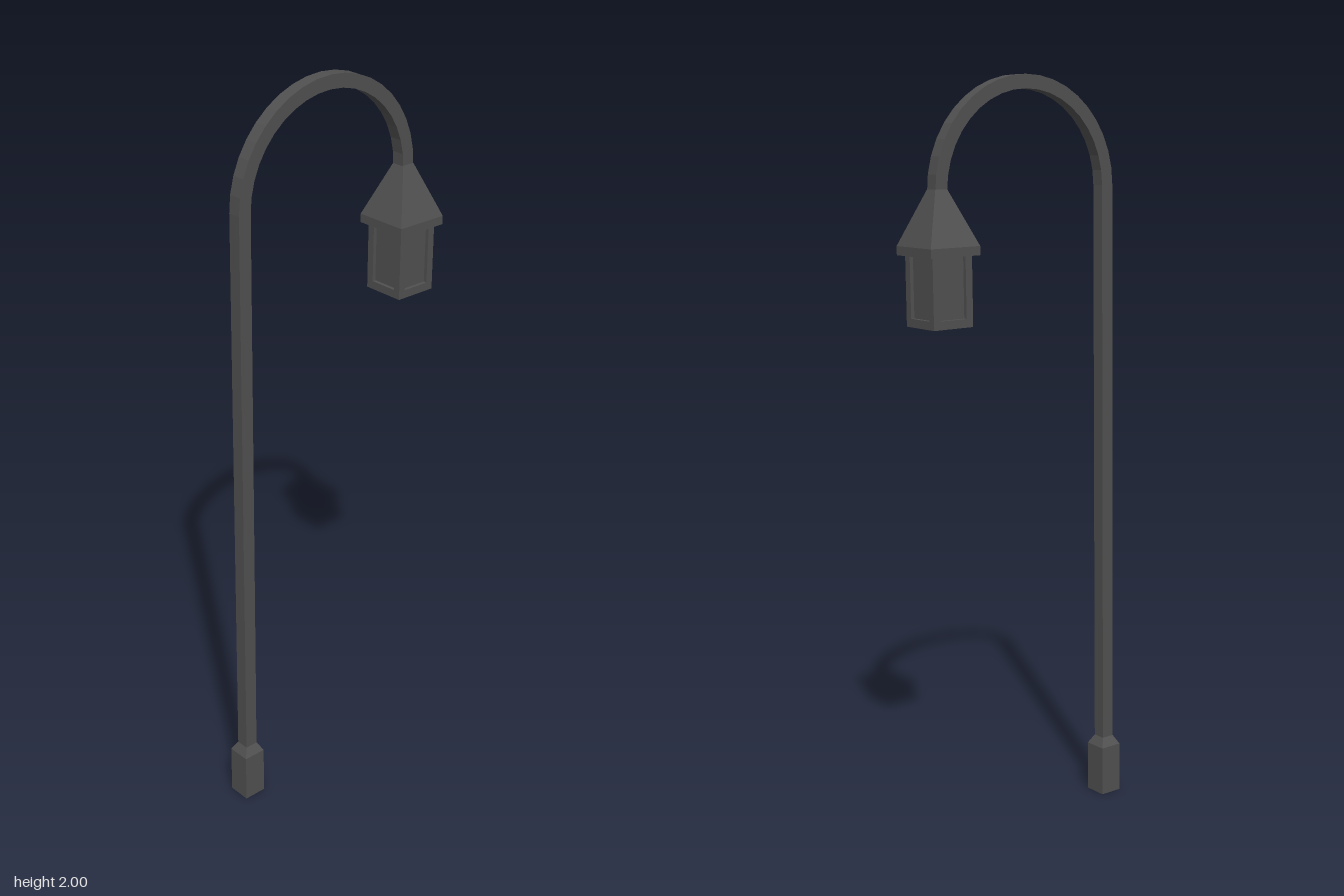
import * as THREE from 'three';

const iron = new THREE.MeshStandardMaterial({ color: 0x505050 });
iron.name = 'darkIron';

export function createModel() {
  const model = new THREE.Group();
  model.name = 'streetLamp';

  function add(parent, name, geometry, x = 0, y = 0, z = 0) {
    const mesh = new THREE.Mesh(geometry, iron);
    mesh.name = name;
    mesh.position.set(x, y, z);
    parent.add(mesh);
    return mesh;
  }

  // Four-sided tapering block with hard edges, standing on its own y = 0
  function taper(bottomHalf, topHalf, height) {
    const g = new THREE.CylinderGeometry(topHalf * Math.SQRT2, bottomHalf * Math.SQRT2, height, 4)
      .rotateY(Math.PI / 4).translate(0, height / 2, 0).toNonIndexed();
    g.computeVertexNormals();
    return g;
  }

  const poleZ = 0.301, lampZ = -0.239, half = 0.018;
  const archY = 1.717, archZ = (poleZ + lampZ) / 2, radius = (poleZ - lampZ) / 2;

  // Foot and its sloping collar
  add(model, 'base', new THREE.BoxGeometry(0.064, 0.138, 0.064), 0, 0.069, poleZ);
  add(model, 'baseCollar', taper(0.032, half, 0.025), 0, 0.138, poleZ);

  // Square pole bending over into a half-circle arch, drawn from the side
  const side = new THREE.Shape();
  const steps = 20;
  side.moveTo(poleZ - half, 0.15);
  side.lineTo(poleZ + half, 0.15);
  for (let i = 0; i <= steps; i++) {
    const a = Math.PI * i / steps, r = radius + half;
    side.lineTo(archZ + r * Math.cos(a), archY + r * Math.sin(a));
  }
  for (let i = steps; i >= 0; i--) {
    const a = Math.PI * i / steps, r = radius - half;
    side.lineTo(archZ + r * Math.cos(a), archY + r * Math.sin(a));
  }
  const pole = new THREE.ExtrudeGeometry(side, { depth: half * 2, bevelEnabled: false });
  pole.translate(0, 0, -half).rotateY(-Math.PI / 2);
  add(model, 'poleAndArch', pole);

  // Hanging lantern
  const lantern = new THREE.Group();
  lantern.name = 'lantern';
  lantern.position.set(0, 1.382, lampZ);
  model.add(lantern);

  add(lantern, 'roof', taper(0.075, half, 0.14), 0, 0.203, 0);
  add(lantern, 'eaves', new THREE.BoxGeometry(0.15, 0.023, 0.15), 0, 0.1915, 0);
  add(lantern, 'panes', new THREE.BoxGeometry(0.1, 0.16, 0.1), 0, 0.1, 0);
  add(lantern, 'floor', new THREE.BoxGeometry(0.12, 0.022, 0.12), 0, 0.011, 0);
  for (const sx of [-1, 1]) {
    for (const sz of [-1, 1]) {
      add(lantern, 'cornerPost', new THREE.BoxGeometry(0.02, 0.158, 0.02), sx * 0.05, 0.101, sz * 0.05);
    }
  }

  // The whole lamp leans slightly backwards
  model.rotation.x = -0.0145;
  model.position.y = -0.004;
  const root = new THREE.Group();
  root.name = 'lampPost';
  root.add(model);
  return root;
}
